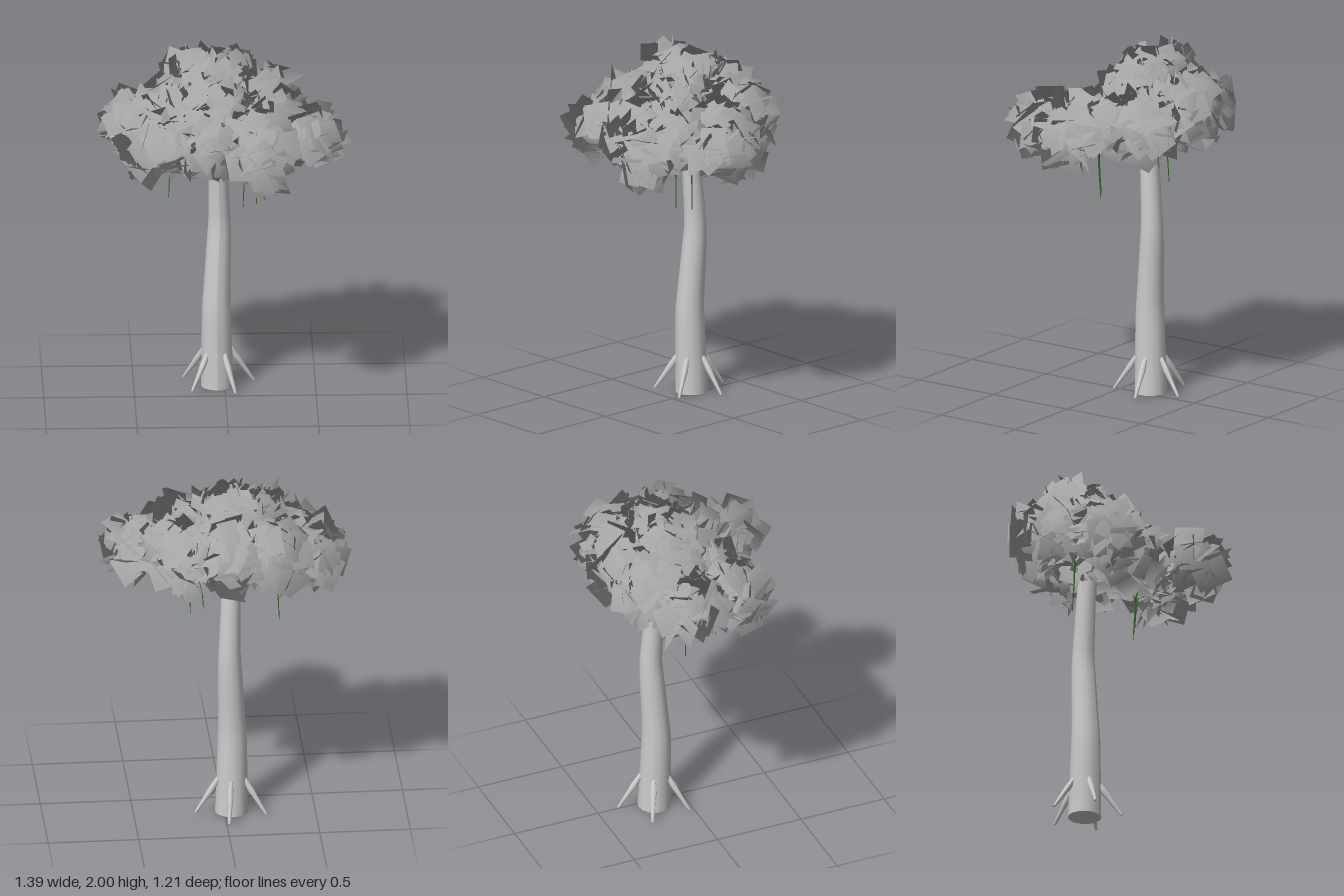
import * as THREE from 'three';
import { mergeGeometries } from 'three/addons/utils/BufferGeometryUtils.js';

const V = (x, y, z) => new THREE.Vector3(x, y, z);

// Small seeded generator
function seeded(seed) {
  return () => {
    seed = (Math.imul(seed, 1664525) + 1013904223) >>> 0;
    return seed / 4294967296;
  };
}

// Round limb through points, with a radius at each point and closed ends
function limb(points, radii, sides = 12, rings = 12) {
  const curve = new THREE.CatmullRomCurve3(points, false, 'catmullrom', 0.2);
  const geo = new THREE.CylinderGeometry(1, 1, 1, sides, rings);
  const pos = geo.attributes.position;
  const last = radii.length - 1;
  const p = V(0, 0, 0), c = V(0, 0, 0), q = new THREE.Quaternion();
  for (let i = 0; i < pos.count; i++) {
    p.fromBufferAttribute(pos, i);
    const t = THREE.MathUtils.clamp(p.y + 0.5, 0, 1);
    const k = Math.min(Math.floor(t * last), last - 1);
    const r = THREE.MathUtils.lerp(radii[k], radii[k + 1], t * last - k);
    q.setFromUnitVectors(V(0, 1, 0), curve.getTangent(t));
    curve.getPoint(t, c);
    p.set(p.x * r, 0, p.z * r).applyQuaternion(q).add(c);
    pos.setXYZ(i, p.x, p.y, p.z);
  }
  geo.computeVertexNormals();
  return geo;
}

// Foliage clumps: centre, radii, number of cards, card size
const clumps = [
  [V(-0.47, 1.57, -0.14), V(0.18, 0.15, 0.21), 75, 0.155],
  [V(-0.38, 1.52, 0.16), V(0.18, 0.15, 0.17), 75, 0.155],
  [V(-0.14, 1.52, 0.12), V(0.20, 0.17, 0.17), 75, 0.14],
  [V(-0.26, 1.62, -0.30), V(0.20, 0.18, 0.17), 75, 0.14],
  [V(0.00, 1.64, -0.38), V(0.19, 0.20, 0.14), 75, 0.14],
  [V(0.22, 1.62, -0.32), V(0.18, 0.19, 0.17), 75, 0.14],
  [V(0.28, 1.63, -0.12), V(0.16, 0.13, 0.13), 55, 0.12],
  [V(0.19, 1.57, 0.15), V(0.15, 0.16, 0.15), 55, 0.13],
  [V(0.19, 1.51, 0.38), V(0.15, 0.15, 0.13), 65, 0.155],
  [V(0.49, 1.54, 0.04), V(0.13, 0.13, 0.20), 60, 0.155],
  [V(-0.02, 1.52, -0.13), V(0.20, 0.12, 0.16), 70, 0.13],
  [V(-0.09, 1.73, -0.09), V(0.22, 0.11, 0.21), 80, 0.11],
  [V(-0.09, 1.89, -0.16), V(0.27, 0.07, 0.17), 100, 0.085],
];

// Square leaf cards through each clump, facing roughly outward
function foliage() {
  const rnd = seeded(17);
  const jitter = (a) => (rnd() - 0.5) * 2 * a;
  const root = V(-0.05, 1.3, -0.1);
  const cards = [];
  const frame = new THREE.Object3D();
  for (const [centre, radii, count, size] of clumps) {
    for (let i = 0; i < count; i++) {
      // Even spread of directions, with varied depth
      const y = 1 - 2 * (i + 0.5) / count;
      const a = i * 2.39996 + jitter(0.4);
      const ring = Math.sqrt(1 - y * y);
      const out = V(Math.cos(a) * ring, y, Math.sin(a) * ring);
      frame.position.copy(out).multiply(radii).multiplyScalar(0.45 + 0.55 * Math.sqrt(rnd())).add(centre);
      frame.up.set(jitter(1), 1, jitter(1)).normalize();
      const aim = V(jitter(1.3), jitter(1.3), jitter(1.3)).add(out);
      if (aim.dot(out) < 0) aim.negate();
      frame.lookAt(aim.add(frame.position));
      frame.rotateZ(jitter(1.5));
      frame.updateMatrix();
      const s = size * (0.65 + 0.55 * rnd());
      const card = new THREE.PlaneGeometry(s, s * (0.85 + 0.3 * rnd()));
      card.applyMatrix4(frame.matrix);
      // Soft shading: blend each normal with the upward spread of the crown
      const pos = card.attributes.position, nor = card.attributes.normal;
      for (let v = 0; v < 4; v++) {
        const p = V(0, 0, 0).fromBufferAttribute(pos, v);
        const n = V(0, 0, 0).fromBufferAttribute(nor, v).multiplyScalar(0.6);
        n.add(p.clone().sub(root).normalize()).add(p.sub(centre).normalize().multiplyScalar(0.6));
        n.y += 0.3;
        n.normalize();
        nor.setXYZ(v, n.x, n.y, n.z);
      }
      cards.push(card);
    }
  }
  return mergeGeometries(cards);
}

export function createModel() {
  const tree = new THREE.Group();
  tree.name = 'tree';
  const bark = new THREE.MeshStandardMaterial({ color: 0xcccccc });
  const leaf = new THREE.MeshStandardMaterial({ color: 0xa4a4a4, side: THREE.DoubleSide });
  const green = new THREE.MeshStandardMaterial({ color: 0x3d6b2a });
  const add = (name, geo, mat) => {
    const mesh = new THREE.Mesh(geo, mat);
    mesh.name = name;
    tree.add(mesh);
  };

  // Gently bent trunk
  add('trunk', limb(
    [V(-0.04, 0.005, -0.18), V(-0.045, 0.48, -0.17), V(-0.028, 0.95, -0.195), V(-0.04, 1.43, -0.165)],
    [0.092, 0.08, 0.063, 0.05], 14, 15), bark);

  // Five stilt roots around the foot
  for (let i = 0; i < 5; i++) {
    const a = (i * 72 - 10) * Math.PI / 180;
    const at = (r, y) => V(-0.04 + Math.cos(a) * r, y, -0.18 + Math.sin(a) * r);
    add('root', limb([at(0.075, 0.215), at(0.115, 0.15), at(0.205, 0.018)], [0.012, 0.018, 0.007], 8, 6), bark);
  }

  // Slim branches from the fork, rising inside the foliage
  const fork = V(-0.04, 1.4, -0.165);
  for (const [centre] of clumps.slice(0, 10)) {
    const mid = fork.clone().lerp(centre, 0.4).setY(1.56);
    add('branch', limb([fork, mid, centre], [0.03, 0.012, 0.005], 7, 6), bark);
  }

  // Bare twig tips poking out of the crown
  add('twig', limb([V(-0.18, 1.85, -0.18), V(-0.22, 2.0, -0.2)], [0.005, 0.002], 5, 2), bark);
  add('twig', limb([V(-0.5, 1.52, 0.02), V(-0.7, 1.56, 0.065)], [0.005, 0.002], 5, 2), bark);

  add('foliage', foliage(), leaf);

  // Thin hanging vines
  for (const [x, z] of [[-0.31, -0.11], [0.095, 0.06], [0.17, 0.01]]) {
    add('vine', limb(
      [V(x + 0.005, 1.54, z + 0.012), V(x + 0.008, 1.32, z + 0.008), V(x, 1.13, z)],
      [0.005, 0.004, 0.002], 5, 6), green);
  }
  return tree;
}
